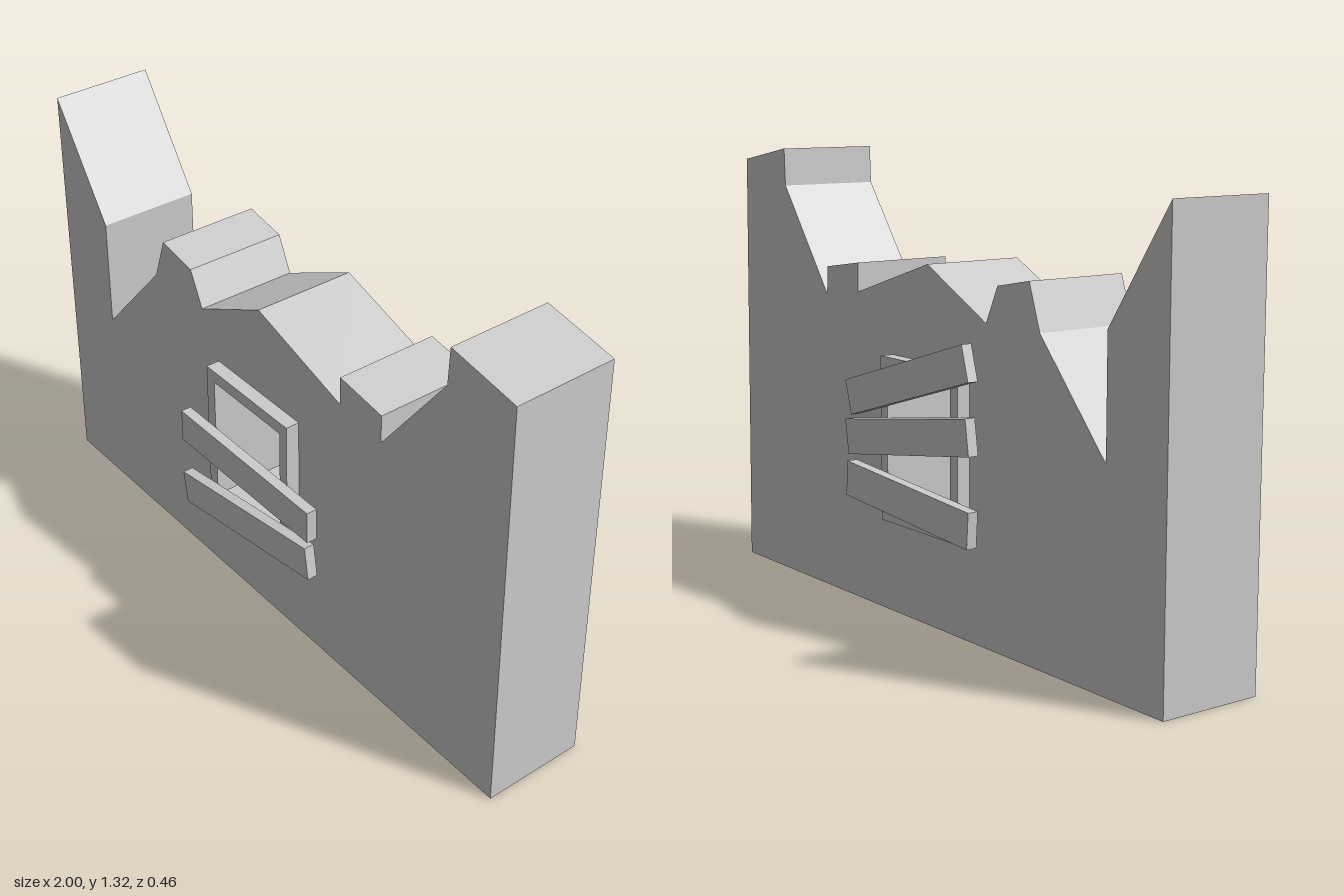
import * as THREE from 'three';

const material = new THREE.MeshStandardMaterial({ color: 0xcccccc, flatShading: true });

function rectPath(path, x0, x1, y0, y1) {
  path.moveTo(x0, y0);
  path.lineTo(x1, y0);
  path.lineTo(x1, y1);
  path.lineTo(x0, y1);
  path.closePath();
  return path;
}

// Extrudes a shape along z between two depths
function slab(name, shape, zBack, zFront) {
  const geometry = new THREE.ExtrudeGeometry(shape, { depth: zFront - zBack, bevelEnabled: false });
  geometry.translate(0, 0, zBack);
  const mesh = new THREE.Mesh(geometry, material);
  mesh.name = name;
  return mesh;
}

export function createModel() {
  const group = new THREE.Group();
  group.name = 'ruinedWall';

  // Broken wall with a window opening
  const outline = [
    [-1, 0], [1, 0], [0.98, 1.28], [0.75, 1.32], [0.745, 1.208], [0.51, 0.895],
    [0.51, 0.98], [0.342, 1.005], [0.342, 0.92], [-0.01, 1.03], [-0.28, 0.895],
    [-0.33, 1.0], [-0.465, 1.025], [-0.51, 0.895], [-0.775, 0.6], [-0.775, 0.935], [-1, 1.265],
  ];
  const wall = new THREE.Shape(outline.map(([x, y]) => new THREE.Vector2(x, y)));
  wall.holes.push(rectPath(new THREE.Path(), -0.206, 0.166, 0.28, 0.757));
  group.add(slab('wall', wall, -0.157, 0.155));

  // Window frame lining the opening and standing proud of both faces
  const frame = rectPath(new THREE.Shape(), -0.206, 0.166, 0.28, 0.757);
  frame.holes.push(rectPath(new THREE.Path(), -0.171, 0.134, 0.315, 0.72));
  group.add(slab('windowFrame', frame, -0.197, 0.197));

  // Boards nailed across the window: name, height, tilt in degrees, depth
  const boards = [
    ['frontUpperBoard', 0.512, 0, 0.215],
    ['frontLowerBoard', 0.333, 9.2, 0.215],
    ['backUpperBoard', 0.709, -16.6, -0.213],
    ['backMiddleBoard', 0.551, -8.6, -0.213],
    ['backLowerBoard', 0.362, 4, -0.213],
  ];
  const boardGeometry = new THREE.BoxGeometry(0.597, 0.103, 0.032);
  for (const [name, y, tilt, z] of boards) {
    const board = new THREE.Mesh(boardGeometry, material);
    board.name = name;
    board.position.set(0.003, y, z);
    board.rotation.z = THREE.MathUtils.degToRad(tilt);
    group.add(board);
  }

  return group;
}
